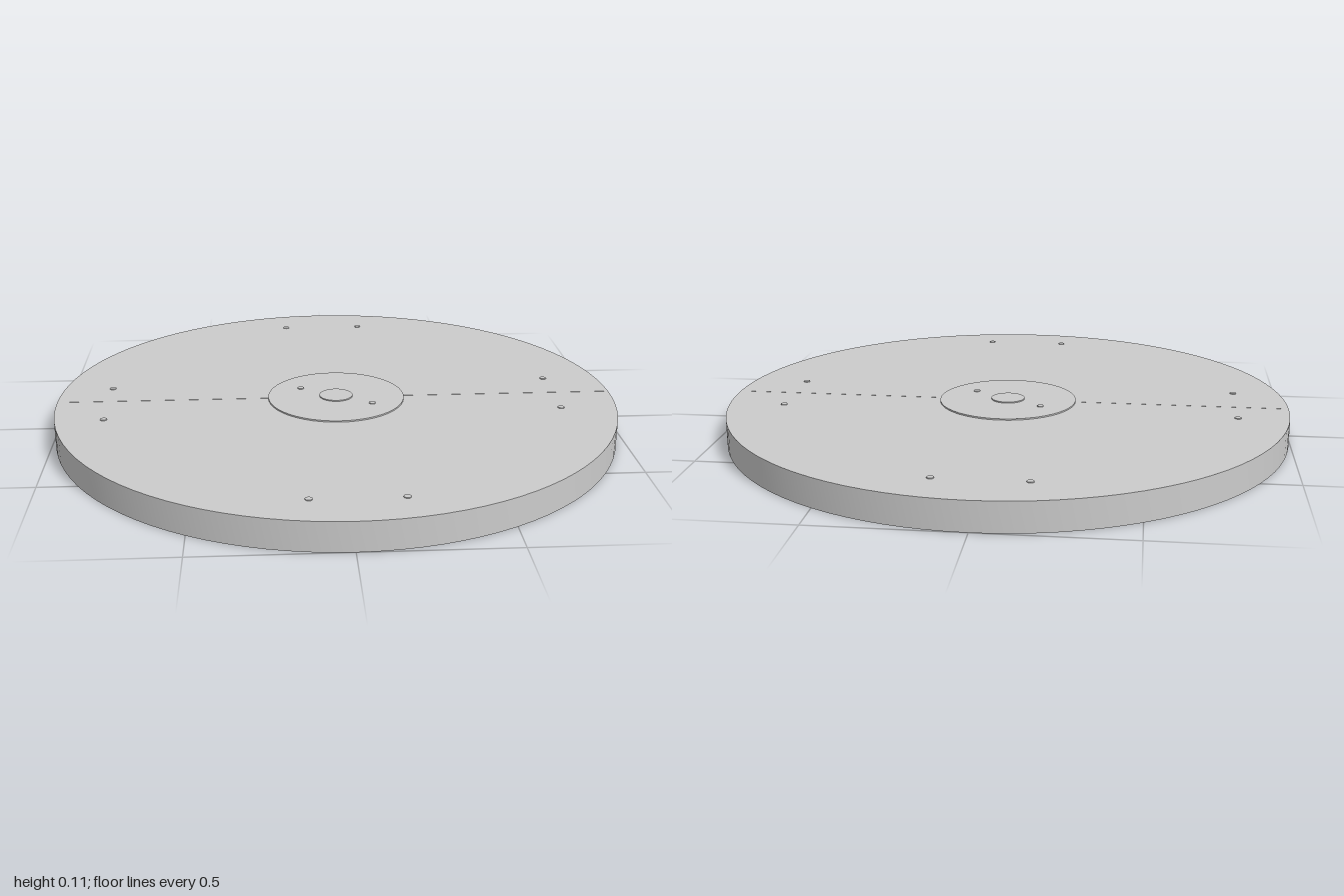
import * as THREE from 'three';
import { toCreasedNormals } from 'three/addons/utils/BufferGeometryUtils.js';

const material = new THREE.MeshStandardMaterial({ color: 0xcccccc });
const TOP = 0.1;      // top of the two half plates
const HUB_TOP = 0.105; // top of the thin centre plate

export function createModel() {
  const model = new THREE.Group();

  function add(name, geometry, parent = model) {
    const mesh = new THREE.Mesh(geometry, material);
    mesh.name = name;
    parent.add(mesh);
    return mesh;
  }

  // low round part standing on height y
  function disc(name, radius, height, x, y, z, sides, parent) {
    const mesh = add(name, new THREE.CylinderGeometry(radius, radius, height, sides), parent);
    mesh.position.set(x, y + height / 2, z);
  }

  // two half plates with a hairline seam along x
  const seam = 0.001;
  const half = new THREE.Shape();
  half.absarc(0, 0, 1, seam, Math.PI - seam, false);
  half.closePath();
  const extruded = new THREE.ExtrudeGeometry(half, { depth: TOP, bevelEnabled: false, curveSegments: 24 });
  const halfGeometry = toCreasedNormals(extruded.rotateX(-Math.PI / 2), 0.6);
  add('backHalfPlate', halfGeometry);
  add('frontHalfPlate', halfGeometry).rotation.y = Math.PI;

  // centre plate and its raised boss
  disc('centrePlate', 0.245, HUB_TOP - TOP, 0, TOP, 0, 48);
  disc('centreBoss', 0.06, 0.004, 0, HUB_TOP, 0, 32);

  // two studs on the centre plate
  for (const s of [-1, 1]) disc('centreStud', 0.012, 0.003, 0.125 * s, HUB_TOP, 0.082 * s, 16);

  // pairs of studs near the rim, on all four sides
  const rimStuds = new THREE.Group();
  rimStuds.name = 'rimStuds';
  model.add(rimStuds);
  for (const s of [-1, 1]) {
    disc('frontStud', 0.012, 0.003, 0.017 + 0.148 * s, TOP, 0.847, 16, rimStuds);
    disc('backStud', 0.012, 0.003, -0.012 + 0.151 * s, TOP, -0.83, 16, rimStuds);
    disc('leftStud', 0.012, 0.003, 0.79, TOP, 0.002 + 0.15 * s, 16, rimStuds);
    disc('rightStud', 0.012, 0.003, -0.815, TOP, 0.022 + 0.152 * s, 16, rimStuds);
  }

  return model;
}
